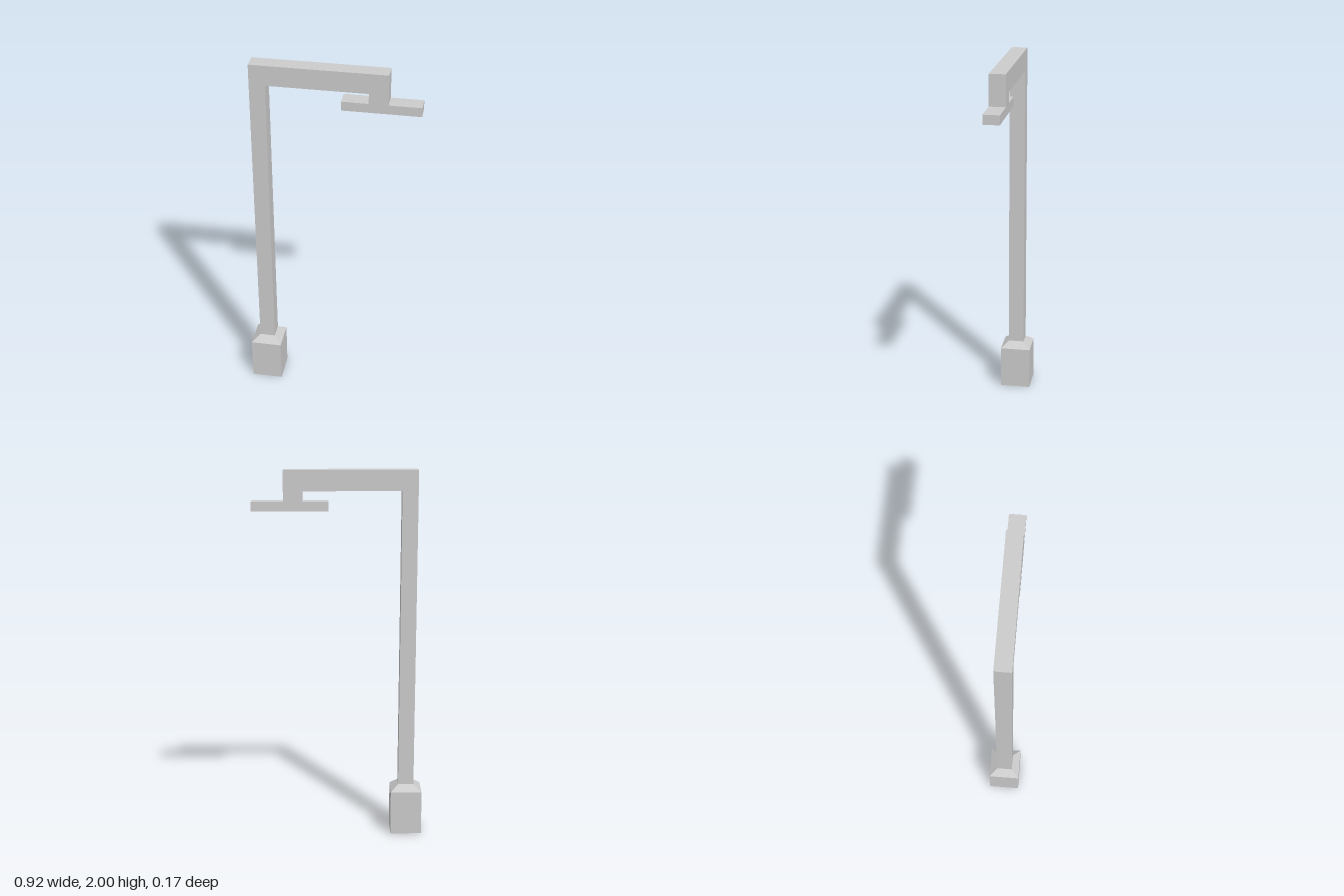
import * as THREE from 'three';
import { mergeGeometries } from 'three/addons/utils/BufferGeometryUtils.js';

const HALF = 0.043; // half depth of post, arm and lamp bar

// Flat slab at depth z, facing front (+z) or back (-z)
function cap(shape, z, front) {
  const g = new THREE.ShapeGeometry(shape).toNonIndexed();
  if (!front) g.scale(-1, 1, 1).rotateY(Math.PI).scale(1, 1, 1);
  g.translate(0, 0, z);
  const p = g.attributes.position;
  if (!front) {
    // reverse the corner order so the face looks backward
    for (let i = 0; i < p.count; i += 3) {
      const b = [p.getX(i + 1), p.getY(i + 1), p.getZ(i + 1)];
      p.setXYZ(i + 1, p.getX(i + 2), p.getY(i + 2), p.getZ(i + 2));
      p.setXYZ(i + 2, ...b);
    }
  }
  g.deleteAttribute('uv');
  g.computeVertexNormals();
  return g;
}

// Extruded outline, leaving out the wall that starts at index openEdge
function openExtrusion(outline, openEdge) {
  const pos = [];
  outline.forEach(([ax, ay], i) => {
    if (i === openEdge) return;
    const [bx, by] = outline[(i + 1) % outline.length];
    const q = [[ax, ay, HALF], [ax, ay, -HALF], [bx, by, -HALF], [bx, by, HALF]];
    for (const k of [0, 1, 2, 0, 2, 3]) pos.push(...q[k]);
  });
  const walls = new THREE.BufferGeometry();
  walls.setAttribute('position', new THREE.Float32BufferAttribute(pos, 3));
  walls.computeVertexNormals();
  const shape = new THREE.Shape(outline.map(([x, y]) => new THREE.Vector2(x, y)));
  return mergeGeometries([walls, cap(shape, HALF, true), cap(shape, -HALF, false)]);
}

export function createModel() {
  const group = new THREE.Group();
  const material = new THREE.MeshStandardMaterial({
    color: 0xcccccc, flatShading: true, side: THREE.DoubleSide,
  });

  // Square foot with a sloped shoulder
  const foot = [[0, 0], [0.085, 0], [0.085, 0.24], [0.043, 0.275], [0, 0.275]]
    .map(([half, y]) => new THREE.Vector2(half * Math.SQRT2, y));
  const base = new THREE.Mesh(new THREE.LatheGeometry(foot, 4, Math.PI / 4), material);
  base.name = 'base';
  base.position.x = -0.375;
  group.add(base);

  // Post, arm, drop and lamp bar in one outline; the drop is open underneath
  const outline = [
    [-0.417, 0.275], [-0.332, 0.275], [-0.337, 1.89], [0.19, 1.89],
    [0.19, 1.835], [0.05, 1.835], [0.05, 1.785], [0.19, 1.785],
    [0.29, 1.785], [0.46, 1.785], [0.46, 1.835], [0.29, 1.835],
    [0.29, 2], [-0.422, 2],
  ];
  const post = new THREE.Mesh(openExtrusion(outline, 7), material);
  post.name = 'postAndLampArm';
  group.add(post);

  return group;
}
